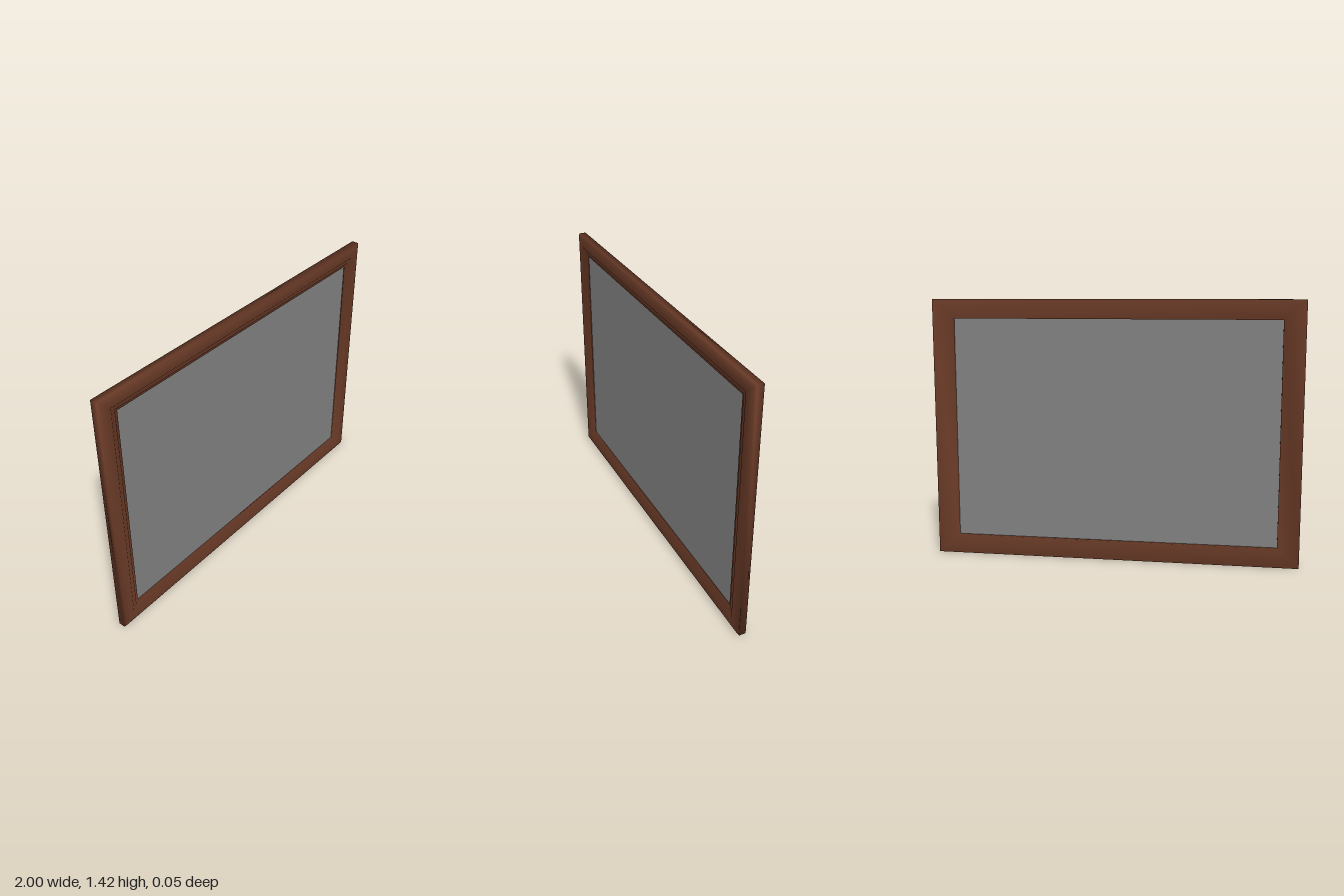
import * as THREE from 'three';

const HALF_W = 1, HEIGHT = 1.42, RAIL_RATIO = 0.9;

// Moulding cross-section, [inset from the outer edge, z], from outer back round to inner back
const PROFILE = [
  [0, -0.025], [0, 0.012], [0.008, 0.018], [0.02, 0.023], [0.035, 0.025],
  [0.066, 0.023], [0.072, 0.018], [0.093, 0.016], [0.098, 0.011],
  [0.113, 0.008], [0.116, 0.004], [0.116, -0.025],
];

// Sweeps the profile round the four mitred corners, sharing vertices for soft shading
function mouldingGeometry() {
  const corners = [[-1, -1], [1, -1], [1, 1], [-1, 1]];
  const n = PROFILE.length, positions = [], index = [];
  corners.forEach(([sx, sy], j) => {
    PROFILE.forEach(([inset, z], i) => {
      positions.push(
        sx * (HALF_W - inset),
        HEIGHT / 2 + sy * (HEIGHT / 2 - inset * RAIL_RATIO),
        z);
      const next = (j + 1) % 4, k = (i + 1) % n;
      const a = j * n + i, b = next * n + i, c = next * n + k, d = j * n + k;
      index.push(a, b, c, a, c, d);
    });
  });
  const geometry = new THREE.BufferGeometry();
  geometry.setAttribute('position', new THREE.Float32BufferAttribute(positions, 3));
  geometry.setIndex(index);
  geometry.computeVertexNormals();
  return geometry;
}

export function createModel() {
  const wood = new THREE.MeshStandardMaterial({ color: 0x673926 });
  wood.name = 'brown wood';
  const grey = new THREE.MeshStandardMaterial({ color: 0x808080 });
  grey.name = 'grey panel';

  const group = new THREE.Group();
  group.name = 'pictureFrame';

  const frame = new THREE.Mesh(mouldingGeometry(), wood);
  frame.name = 'frameMoulding';
  group.add(frame);

  // Thin panel set into the opening
  const inset = 0.115;
  const panel = new THREE.Mesh(
    new THREE.BoxGeometry(2 * (HALF_W - inset), HEIGHT - 2 * inset * RAIL_RATIO, 0.006), grey);
  panel.name = 'picturePanel';
  panel.position.set(0, HEIGHT / 2, 0);
  group.add(panel);

  return group;
}
